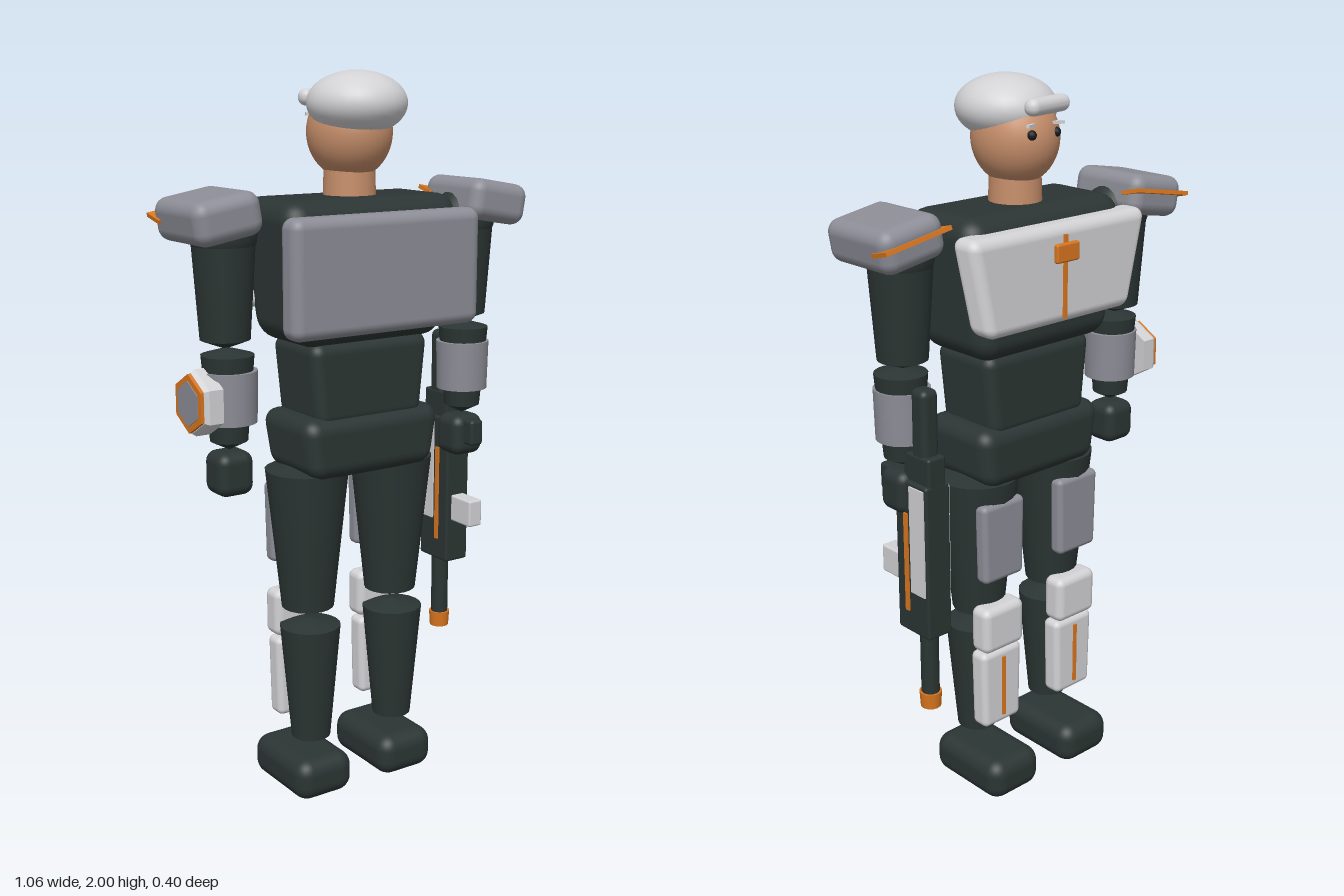
import * as THREE from 'three';
import { RoundedBoxGeometry } from 'three/addons/geometries/RoundedBoxGeometry.js';

const mat = (name, color) => {
  const m = new THREE.MeshStandardMaterial({ color });
  m.name = name;
  return m;
};

export function createModel() {
  const suit = mat('dark suit', 0x2b3533);
  const grey = mat('grey armour', 0x8c8d96);
  const white = mat('light armour', 0xd2d2d5);
  const orange = mat('orange trim', 0xd9761f);
  const skin = mat('skin', 0xc68e6a);
  const black = mat('eye black', 0x181c1d);
  const root = new THREE.Group();
  root.name = 'armouredSoldier';

  const add = (name, geo, material, x, y, z, parent = root) => {
    const m = new THREE.Mesh(geo, material);
    m.name = name;
    m.position.set(x, y, z);
    parent.add(m);
    return m;
  };
  // Rounded block given by size and corner radius; narrow scales the bottom end
  const block = (w, h, d, r, narrow = 1, narrowZ = 1) => {
    const g = new RoundedBoxGeometry(w, h, d, 4, r);
    const p = g.attributes.position;
    for (let i = 0; i < p.count; i++) {
      const t = 0.5 - p.getY(i) / h;
      p.setX(i, p.getX(i) * (1 + (narrow - 1) * t));
      p.setZ(i, p.getZ(i) * (1 + (narrowZ - 1) * t));
    }
    return g;
  };
  const box = (w, h, d) => new THREE.BoxGeometry(w, h, d);
  // Tapered limb with shallow conical ends
  const limb = (name, x, z, bottom, top, rBottom, rTop) => {
    const body = bottom + 0.025, shoulder = top - 0.02;
    const h = shoulder - body;
    add(name, new THREE.CylinderGeometry(rTop, rBottom, h, 20, 1, true), suit, x, body + h / 2, z);
    add(name + 'TopEnd', new THREE.ConeGeometry(rTop, 0.02, 20, 1, true), suit, x, top - 0.01, z);
    add(name + 'BottomEnd', new THREE.ConeGeometry(rBottom, 0.025, 20, 1, true), suit,
      x, bottom + 0.0125, z).rotation.x = Math.PI;
  };

  // Torso
  add('chest', block(0.56, 0.38, 0.28, 0.06, 0.8), suit, 0, 1.49, 0);
  add('waist', block(0.38, 0.23, 0.22, 0.035, 0.87), suit, 0, 1.195, 0.005);
  add('hips', block(0.445, 0.17, 0.255, 0.045, 0.87), suit, 0, 1.025, 0.007);
  add('backPlate', block(0.59, 0.31, 0.08, 0.03), grey, 0, 1.49, 0.157);
  add('chestPlate', block(0.62, 0.262, 0.092, 0.03, 0.8), white, 0, 1.514, -0.14);
  add('chestLine', box(0.01, 0.22, 0.008), orange, 0, 1.51, -0.189);
  add('chestClasp', new RoundedBoxGeometry(0.08, 0.05, 0.016, 2, 0.006), orange, 0, 1.575, -0.194);

  // Head, facing -z
  add('neck', new THREE.CylinderGeometry(0.068, 0.072, 0.12, 24), skin, 0, 1.7, 0);
  add('head', new THREE.SphereGeometry(1, 32, 24), skin, 0, 1.842, 0).scale.set(0.111, 0.123, 0.121);
  const hair = add('hair', new THREE.SphereGeometry(1, 32, 24), white, 0, 1.916, 0.035);
  hair.scale.set(0.131, 0.084, 0.135);
  const fringe = add('fringe', new RoundedBoxGeometry(0.16, 0.044, 0.044, 4, 0.021), white, -0.02, 1.93, -0.097);
  fringe.rotation.y = 0.17;
  for (const s of [-1, 1]) {
    add('eye', new THREE.SphereGeometry(0.013, 12, 8), black, s * 0.042, 1.862, -0.107);
    add('eyebrow', box(0.045, 0.008, 0.009), white, s * 0.042, 1.886, -0.107).rotation.y = s * 0.35;
  }

  for (const s of [-1, 1]) {
    // Arms
    const ax = s * 0.385;
    limb('upperArm', ax, 0, 1.305, 1.63, 0.066, 0.085);
    add('shoulderJoint', new THREE.SphereGeometry(0.088, 20, 14), suit, ax, 1.6, 0);
    limb('forearm', ax, 0.01, 1.04, 1.312, 0.05, 0.07);
    add('wristGuard', new THREE.CylinderGeometry(0.075, 0.072, 0.137, 24), grey, s * 0.382, 1.183, 0.011);
    add('hand', block(0.106, 0.118, 0.102, 0.03), suit, s * 0.383, 0.978, 0.005);
    const pad = new THREE.Group();
    pad.name = 'shoulderPad';
    pad.position.set(s * 0.426, 1.646, 0);
    pad.rotation.z = -s * 0.17;
    root.add(pad);
    add('shoulderPlate', block(0.192, 0.112, 0.245, 0.035), grey, 0, 0, 0.001, pad);
    add('shoulderTrim', box(0.204, 0.011, 0.062), orange, 0, 0.008, -0.103, pad).rotation.x = 0.25;

    // Legs
    const lx = s * 0.14;
    limb('thigh', lx, 0, 0.53, 0.97, 0.073, 0.115);
    limb('shin', lx, 0.012, 0.145, 0.522, 0.055, 0.085);
    add('foot', block(0.182, 0.12, 0.275, 0.045), suit, lx, 0.065, -0.032);
    add('thighPlate', block(0.15, 0.23, 0.045, 0.016, 0.93), grey, lx, 0.785, -0.09);
    add('kneePad', block(0.145, 0.135, 0.07, 0.022), white, lx, 0.522, -0.08);
    add('shinPlate', block(0.145, 0.235, 0.06, 0.018, 0.92), white, lx, 0.333, -0.073);
    add('shinLine', box(0.011, 0.185, 0.008), orange, lx, 0.335, -0.104);
  }

  // Hexagonal forearm shield with trim ring and centre
  const hex = (name, r0, r1, depth, material, x) => {
    const m = add(name, new THREE.CylinderGeometry(r1, r0, depth, 6).toNonIndexed(), material, x, 1.175, 0.005);
    m.geometry.computeVertexNormals();
    m.rotation.set(Math.PI / 2, 0, Math.PI / 2, 'ZXY');
    m.rotation.set(0, 0, Math.PI / 2);
    m.rotateY(Math.PI / 2);
  };
  hex('shieldBody', 0.088, 0.088, 0.04, white, -0.458);
  hex('shieldBevel', 0.088, 0.08, 0.012, white, -0.484);
  hex('shieldTrim', 0.078, 0.078, 0.009, orange, -0.4945);
  hex('shieldFace', 0.06, 0.06, 0.004, grey, -0.4995);

  // Rifle held muzzle-down
  const gx = 0.381;
  add('rifleBody', new RoundedBoxGeometry(0.08, 0.435, 0.128, 2, 0.008), suit, gx, 0.803, -0.06);
  add('rifleRear', new RoundedBoxGeometry(0.058, 0.11, 0.103, 2, 0.008), suit, gx, 1.04, -0.072);
  add('rifleStock', new RoundedBoxGeometry(0.054, 0.2, 0.058, 3, 0.018), suit, gx, 1.17, -0.077);
  add('rifleBarrel', new THREE.CylinderGeometry(0.025, 0.025, 0.2, 16), suit, gx, 0.49, -0.075);
  add('rifleMuzzle', new THREE.CylinderGeometry(0.031, 0.028, 0.045, 16), orange, gx, 0.382, -0.075);
  add('rifleGrip', new RoundedBoxGeometry(0.044, 0.075, 0.09, 2, 0.01), suit, gx, 0.992, 0.045);
  add('rifleMagazine', new RoundedBoxGeometry(0.046, 0.078, 0.09, 2, 0.006), white, gx, 0.752, 0.045);
  for (const s of [-1, 1]) {
    add('riflePanel', box(0.008, 0.3, 0.056), white, gx + s * 0.041, 0.86, -0.087);
    add('rifleStripe', box(0.008, 0.28, 0.014), orange, gx + s * 0.041, 0.79, -0.041);
  }
  return root;
}
